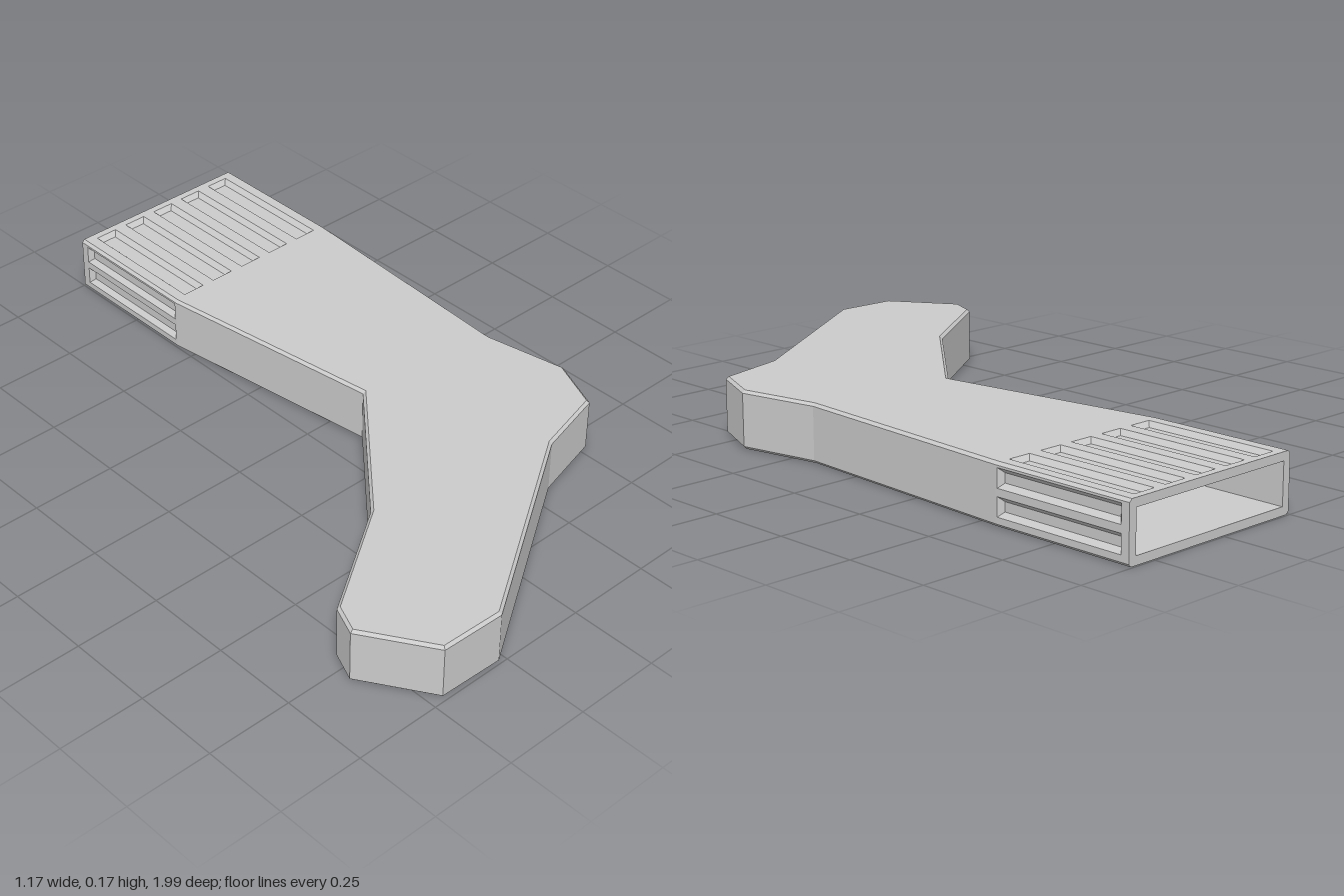
import * as THREE from 'three';
import { mergeGeometries } from 'three/addons/utils/BufferGeometryUtils.js';

const H = 0.165;        // thickness of the flat sock
const BEVEL = 0.008;    // chamfer along the outline
const WALL = 0.024;     // shell thickness
const DEPTH = 0.014;    // depth of the cuff ribs
const END = -0.995, CUFF = -0.56;

// outline seen from above as (x, z), from the cuff opening round the toe and heel and back
const outline = [
  [0, END], [0, CUFF], [0.095, 0.12], [-0.24, 0.5], [-0.555, 0.71], [-0.59, 0.795],
  [-0.465, 0.99], [-0.275, 0.995], [0.31, 0.62], [0.52, 0.565], [0.585, 0.41],
  [0.54, 0.17], [0.585, CUFF], [0.585, END],
].map(([x, z]) => new THREE.Vector2(x, -z));
const N = outline.length;

// outline moved inwards by d, keeping the opening edge in place
function inset(d) {
  const edges = outline.map((p, i) => {
    const dir = outline[(i + 1) % N].clone().sub(p).normalize();
    const shift = i === N - 1 ? 0 : d;
    return { p: new THREE.Vector2(p.x - dir.y * shift, p.y + dir.x * shift), dir };
  });
  return edges.map((e, i) => {
    const a = edges[(i + N - 1) % N];
    const t = e.p.clone().sub(a.p).cross(e.dir) / a.dir.cross(e.dir);
    return a.p.clone().addScaledVector(a.dir, t);
  });
}

function fromQuads(quads) {
  const pos = [];
  for (const [a, b, c, d] of quads) for (const v of [a, b, c, a, c, d]) pos.push(...v);
  const g = new THREE.BufferGeometry();
  g.setAttribute('position', new THREE.Float32BufferAttribute(pos, 3));
  g.computeVertexNormals();
  return g;
}

const rectPoints = ([u0, u1, v0, v1], m = 0) => [
  [u0 + m, v0 + m], [u1 - m, v0 + m], [u1 - m, v1 - m], [u0 + m, v1 - m],
];
const toVectors = (pts) => pts.map(([u, v]) => new THREE.Vector2(u, v));

// flat panel with openings
function plate(points, holes, matrix) {
  const shape = new THREE.Shape(points);
  shape.holes = holes.map((h) => new THREE.Path(toVectors(rectPoints(h))));
  const g = new THREE.ShapeGeometry(shape).toNonIndexed();
  g.deleteAttribute('uv');
  return g.applyMatrix4(matrix);
}

// sloped recesses that fill the openings of a panel
function recesses(rects, matrix) {
  const quads = [];
  for (const r of rects) {
    const outer = rectPoints(r).map((p) => [...p, 0]);
    const inner = rectPoints(r, 0.013).map((p) => [...p, -DEPTH]);
    for (let i = 0; i < 4; i++) {
      const j = (i + 1) % 4;
      quads.push([outer[i], outer[j], inner[j], inner[i]]);
    }
    quads.push(inner);
  }
  return fromQuads(quads).applyMatrix4(matrix);
}

// band of quads between two outlines; skip lists edges left out
function band(lower, y0, upper, y1, skip, flip = false) {
  const quads = [];
  for (let i = 0; i < N - 1; i++) {
    if (skip.includes(i)) continue;
    const at = (loop, k, y) => [loop[k].x, y, -loop[k].y];
    const q = [at(lower, i, y0), at(lower, i + 1, y0), at(upper, i + 1, y1), at(upper, i, y1)];
    quads.push(flip ? q.reverse() : q);
  }
  return fromQuads(quads);
}

export function createModel() {
  const group = new THREE.Group();
  const material = new THREE.MeshStandardMaterial({
    color: 0xcccccc, flatShading: true, side: THREE.DoubleSide,
  });
  const add = (name, parts) => {
    const mesh = new THREE.Mesh(mergeGeometries(parts), material);
    mesh.name = name;
    group.add(mesh);
  };

  const face = inset(BEVEL), inner = inset(WALL);
  const mirrored = (pts) => pts.map((p) => new THREE.Vector2(p.x, -p.y));
  const place = (rotation, x, y, z) => rotation.setPosition(x, y, z);
  const up = (y) => place(new THREE.Matrix4().makeRotationX(-Math.PI / 2), 0, y, 0);
  const down = (y) => place(new THREE.Matrix4().makeRotationX(Math.PI / 2), 0, y, 0);
  const left = place(new THREE.Matrix4().makeRotationY(Math.PI / 2), 0.585, 0, 0);
  const right = place(new THREE.Matrix4().makeRotationY(-Math.PI / 2), 0, 0, 0);
  const back = place(new THREE.Matrix4().makeRotationY(Math.PI), 0, 0, END);

  // rib positions on the broad faces and on the narrow sides
  const topRibs = [], bottomRibs = [];
  for (let i = 0; i < 5; i++) {
    const x = 0.075 + i * 0.109;
    topRibs.push([x - 0.035, x + 0.035, 0.568, 0.973]);
    bottomRibs.push([x - 0.035, x + 0.035, -0.973, -0.568]);
  }
  const leftRibs = [], rightRibs = [];
  for (const y of [0.052, H - 0.04]) {
    const v = [y - 0.026, y + 0.026];
    leftRibs.push([0.566, 0.97, ...v]);
    rightRibs.push([-0.97, -0.566, ...v]);
  }

  // broad faces
  add('topFace', [plate(face, topRibs, up(H))]);
  add('bottomFace', [plate(mirrored(face), bottomRibs, down(0))]);

  // edge walls with chamfers, and the cuff sides that carry ribs
  const sideRect = (u0, u1) => toVectors(rectPoints([u0, u1, BEVEL, H - BEVEL]));
  add('sideWall', [
    band(outline, BEVEL, outline, H - BEVEL, [0, N - 2]),
    band(face, 0, outline, BEVEL, []),
    band(outline, H - BEVEL, face, H, []),
    plate(sideRect(-CUFF, -END), leftRibs, left),
    plate(sideRect(END, CUFF), rightRibs, right),
  ]);

  // recessed ribs around the cuff
  add('cuffRibs', [
    recesses(topRibs, up(H)), recesses(bottomRibs, down(0)),
    recesses(leftRibs, left), recesses(rightRibs, right),
  ]);

  // rim round the opening
  const W = 0.585, B = BEVEL;
  const rim = toVectors([
    [-W + B, 0], [-B, 0], [0, B], [0, H - B], [-B, H], [-W + B, H], [-W, H - B], [-W, B],
  ]);
  add('openingRim', [plate(rim, [[-W + WALL, -WALL, WALL, H - WALL]], back)]);

  // hollow inside
  add('lining', [
    plate(inner, [], up(WALL)),
    plate(mirrored(inner), [], down(H - WALL)),
    band(inner, WALL, inner, H - WALL, [], true),
  ]);
  return group;
}
